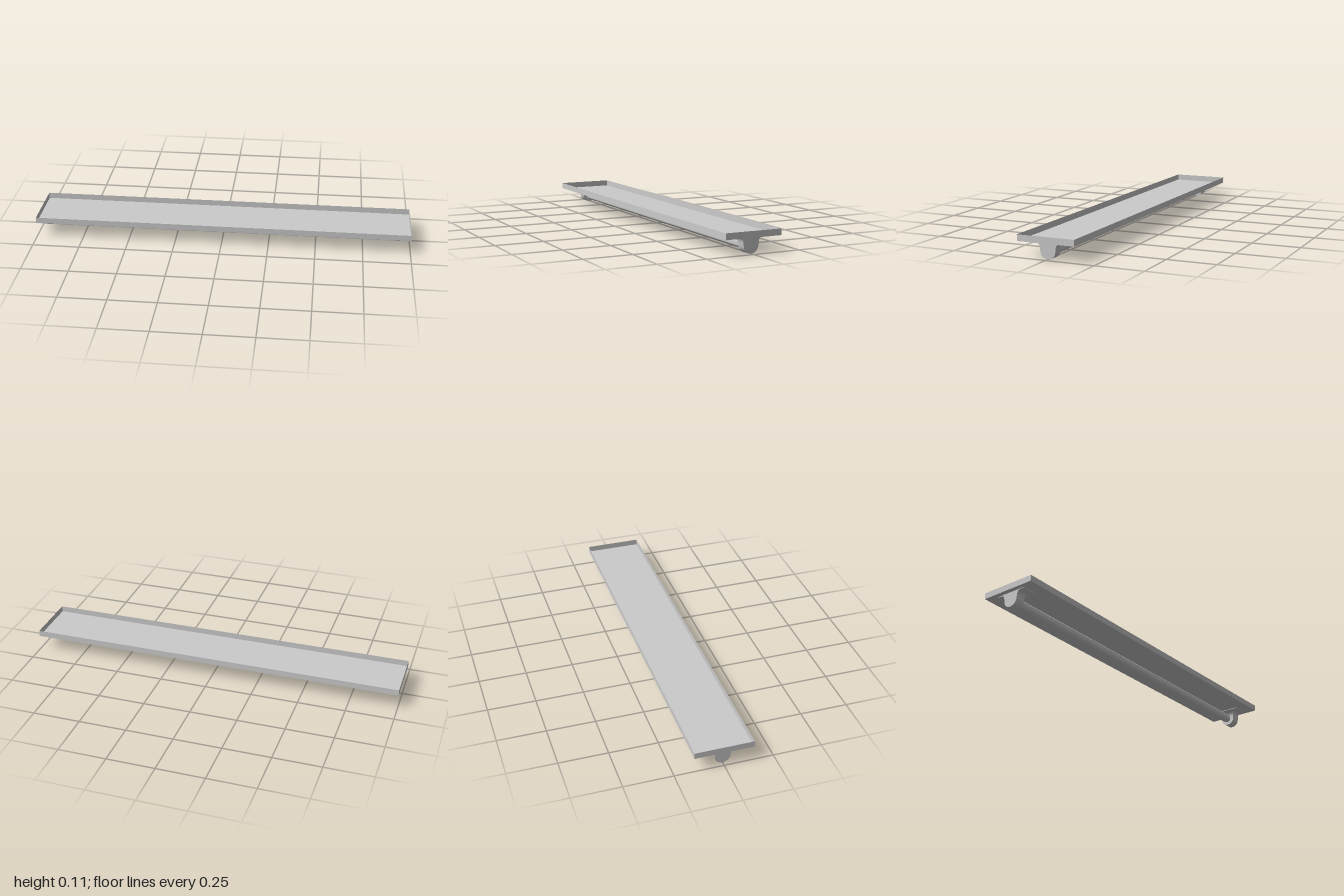
import * as THREE from 'three';
import { toCreasedNormals } from 'three/addons/utils/BufferGeometryUtils.js';

const grey = new THREE.MeshStandardMaterial({ color: 0xcccccc, side: THREE.DoubleSide });
const FLOOR = 0.079, RIM = 0.111, HALF_Z = 0.15;

function part(name, geometry) {
  const mesh = new THREE.Mesh(geometry, grey);
  mesh.name = name;
  return mesh;
}

// Lofts rectangular levels [y, inner x, half depth] against a flat outer face
function bracketGeometry(levels, outer) {
  const pos = [];
  const ring = ([y, inner, z]) => [[inner, y, z], [outer, y, z], [outer, y, -z], [inner, y, -z]];
  const quad = (a, b, c, d) => pos.push(...a, ...b, ...c, ...a, ...c, ...d);
  for (let i = 0; i < levels.length - 1; i++) {
    const lo = ring(levels[i]), hi = ring(levels[i + 1]);
    for (let k = 0; k < 4; k++) {
      const n = (k + 1) % 4;
      quad(lo[k], lo[n], hi[n], hi[k]);
    }
  }
  const bottom = ring(levels[0]), top = ring(levels[levels.length - 1]);
  quad(bottom[3], bottom[2], bottom[1], bottom[0]);
  quad(top[0], top[1], top[2], top[3]);
  const g = new THREE.BufferGeometry();
  g.setAttribute('position', new THREE.Float32BufferAttribute(pos, 3));
  g.computeVertexNormals();
  return toCreasedNormals(g, 0.7);
}

export function createModel() {
  const model = new THREE.Group();
  model.name = 'tubeLight';

  // Thin sheet tray, open at the top
  const tray = new THREE.Group();
  tray.name = 'tray';
  const floor = part('trayFloor', new THREE.PlaneGeometry(2, HALF_Z * 2).rotateX(Math.PI / 2));
  floor.position.y = FLOOR;
  tray.add(floor);
  const h = RIM - FLOOR, midY = (RIM + FLOOR) / 2;
  for (const s of [1, -1]) {
    const side = part('traySide', new THREE.PlaneGeometry(2, h));
    side.position.set(0, midY, s * HALF_Z);
    side.rotation.y = s > 0 ? 0 : Math.PI;
    const end = part('trayEnd', new THREE.PlaneGeometry(HALF_Z * 2, h));
    end.position.set(s, midY, 0);
    end.rotation.y = s * Math.PI / 2;
    tray.add(side, end);
  }
  model.add(tray);

  // Lamp tube with stepped, rounded ends
  const half = [[0.018, 0.93], [0.018, 0.916], [0.022, 0.914], [0.024, 0.908]];
  const profile = [
    ...half.map(([r, x]) => new THREE.Vector2(r, -x)),
    ...half.slice().reverse().map(([r, x]) => new THREE.Vector2(r, x)),
  ];
  const tube = part('lampTube', toCreasedNormals(new THREE.LatheGeometry(profile, 32), 0.6));
  tube.rotation.z = -Math.PI / 2;
  tube.position.y = 0.036;
  model.add(tube);

  // Lamp holders: rounded foot flaring out to a mounting plate
  const levels = [
    [0, 0.925, 0.004], [0.003, 0.925, 0.016], [0.008, 0.925, 0.025], [0.015, 0.925, 0.032],
    [0.026, 0.925, 0.038], [0.04, 0.925, 0.04], [0.056, 0.923, 0.042], [0.066, 0.918, 0.045],
    [0.072, 0.91, 0.05], [0.075, 0.9, 0.06], [0.0755, 0.887, 0.085], [0.0785, 0.887, 0.085],
  ];
  const holder = bracketGeometry(levels, 0.976);
  for (const [name, turn] of [['leftHolder', 0], ['rightHolder', Math.PI]]) {
    const mesh = part(name, holder);
    mesh.rotation.y = turn;
    model.add(mesh);
  }
  return model;
}
